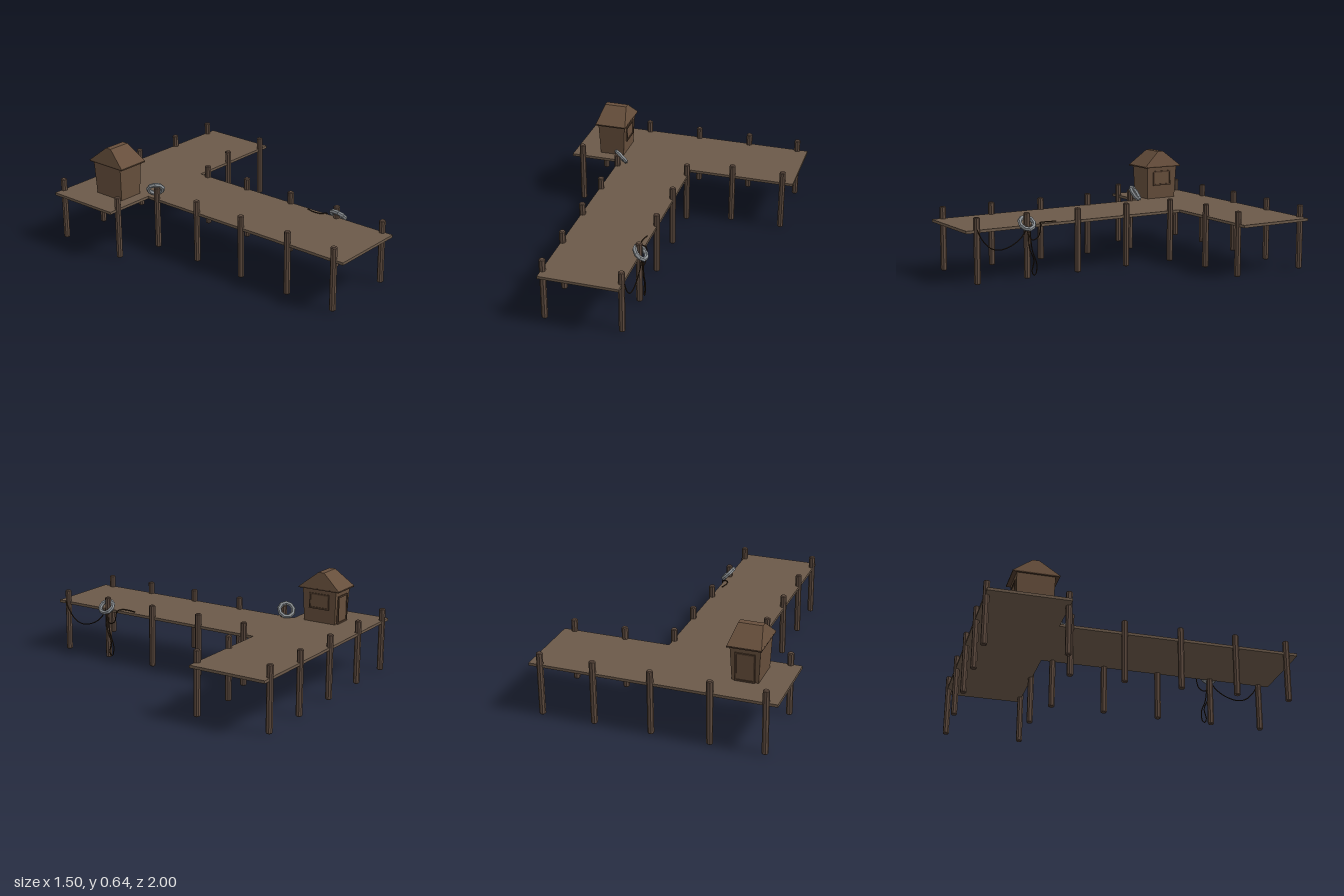
import * as THREE from 'three';

const mat = (color) => new THREE.MeshStandardMaterial({ color, flatShading: true });
const wood = mat(0x6b5949), postWood = mat(0x5f4c40), hutWood = mat(0x674f3c);
const trimWood = mat(0x4f3b2c), ropeBrown = mat(0x2e2013), ringGrey = mat(0x8d9296);

function add(parent, name, geometry, material, x = 0, y = 0, z = 0) {
  const mesh = new THREE.Mesh(geometry, material);
  mesh.name = name;
  mesh.position.set(x, y, z);
  parent.add(mesh);
  return mesh;
}

function polygon(points) {
  return new THREE.Shape(points.map(([x, y]) => new THREE.Vector2(x, y)));
}

// Box whose top face is resized, for flared walls and the roof
function taperedBox(w, h, d, topW, topD) {
  const g = new THREE.BoxGeometry(w, h, d).translate(0, h / 2, 0);
  const p = g.attributes.position;
  for (let i = 0; i < p.count; i++) {
    if (p.getY(i) > h / 2) {
      p.setX(i, Math.sign(p.getX(i)) * topW / 2);
      p.setZ(i, Math.sign(p.getZ(i)) * topD / 2);
    }
  }
  g.computeVertexNormals();
  return g;
}

// Square post with cut corners and a chamfered top
function postGeometry() {
  const a = 0.013, c = 0.006;
  const shape = polygon([[-a, -c], [-c, -a], [c, -a], [a, -c], [a, c], [c, a], [-c, a], [-a, c]]);
  const bevel = 0.005;
  return new THREE.ExtrudeGeometry(shape, {
    depth: 0.4 - 2 * bevel, bevelEnabled: true, bevelThickness: bevel, bevelSize: bevel, bevelSegments: 1,
  }).rotateX(-Math.PI / 2).translate(0, bevel, 0);
}

function rope(parent, name, points) {
  const curve = new THREE.CatmullRomCurve3(points.map((p) => new THREE.Vector3(...p)));
  add(parent, name, new THREE.TubeGeometry(curve, 32, 0.0035, 5), ropeBrown);
}

// Low-poly ring whose axis points along the given direction
function ring(parent, name, center, axis) {
  const mesh = add(parent, name, new THREE.TorusGeometry(0.046, 0.014, 6, 9), ringGrey, ...center);
  mesh.quaternion.setFromUnitVectors(new THREE.Vector3(0, 0, 1), new THREE.Vector3(...axis).normalize());
}

// Rectangular frame of four bars with a panel, facing +z
function framedPanel(name, w, h, bar) {
  const group = new THREE.Group();
  group.name = name;
  add(group, 'panel', new THREE.BoxGeometry(w, h, 0.006), hutWood);
  for (const s of [-1, 1]) {
    add(group, 'frameSide', new THREE.BoxGeometry(bar, h, 0.014), trimWood, s * (w - bar) / 2, 0, 0.001);
    add(group, 'frameRail', new THREE.BoxGeometry(w - 2 * bar, bar, 0.014), trimWood, 0, s * (h - bar) / 2, 0.001);
  }
  return group;
}

function createHut() {
  const hut = new THREE.Group();
  hut.name = 'hut';
  hut.position.set(-0.497, 0.323, -0.682);
  add(hut, 'walls', taperedBox(0.16, 0.217, 0.215, 0.182, 0.23), hutWood);
  add(hut, 'eaves', new THREE.BoxGeometry(0.204, 0.008, 0.28), trimWood, 0, 0.216, 0);
  add(hut, 'roof', taperedBox(0.204, 0.098, 0.28, 0.146, 0.04), hutWood, 0, 0.219, 0);

  const window = framedPanel('window', 0.138, 0.098, 0.01);
  window.position.set(0.087, 0.138, 0);
  window.rotation.set(0, Math.PI / 2, 0);
  hut.add(window);

  const door = framedPanel('door', 0.12, 0.175, 0.01);
  door.position.set(0, 0.09, -0.112);
  door.rotation.y = Math.PI;
  hut.add(door);
  return hut;
}

export function createModel() {
  const model = new THREE.Group();
  model.name = 'pier';

  // T-shaped deck, drawn with y = -z
  const outline = polygon([
    [-0.42, -1], [0.07, -1], [0.07, 0.5], [0.75, 0.5], [0.75, 0.99], [-0.75, 0.99], [-0.75, 0.5], [-0.42, 0.5],
  ]);
  const deck = new THREE.ExtrudeGeometry(outline, { depth: 0.017, bevelEnabled: false });
  add(model, 'deck', deck.rotateX(-Math.PI / 2), wood, 0, 0.307, 0);

  // Posts along both arms
  const posts = [];
  for (const x of [-0.68, -0.355, 0, 0.35, 0.68]) posts.push([x, -0.982]);
  for (const x of [-0.68, 0.35, 0.68]) posts.push([x, -0.505]);
  for (const z of [-0.43, -0.1, 0.25, 0.6, 0.93]) posts.push([-0.412, z], [0.064, z]);
  const post = postGeometry();
  for (const [x, z] of posts) add(model, 'post', post, postWood, x, 0, z);

  model.add(createHut());

  // Rings hung over two posts
  ring(model, 'sideRing', [0.074, 0.338, 0.605], [1, 1, 0]);
  ring(model, 'hutRing', [-0.395, 0.376, -0.458], [1, 1, -1]);

  // Ropes: a swag between posts, a hanging loop and a loose end on the deck
  rope(model, 'swagRope', [
    [0.084, 0.33, 0.938], [0.085, 0.265, 0.905], [0.085, 0.21, 0.85], [0.085, 0.195, 0.79],
    [0.085, 0.215, 0.71], [0.085, 0.26, 0.645], [0.084, 0.32, 0.605],
  ]);
  rope(model, 'hangingRope', [
    [0.084, 0.3, 0.604], [0.084, 0.18, 0.592], [0.084, 0.11, 0.565], [0.084, 0.035, 0.578],
    [0.084, 0.015, 0.558], [0.084, 0.08, 0.545], [0.084, 0.17, 0.575], [0.084, 0.3, 0.59],
  ]);
  rope(model, 'looseRope', [
    [0.084, 0.29, 0.61], [0.085, 0.235, 0.575], [0.085, 0.25, 0.535], [0.082, 0.322, 0.515],
    [0.045, 0.328, 0.5], [0.038, 0.328, 0.45], [0.05, 0.328, 0.395],
  ]);

  return model;
}
